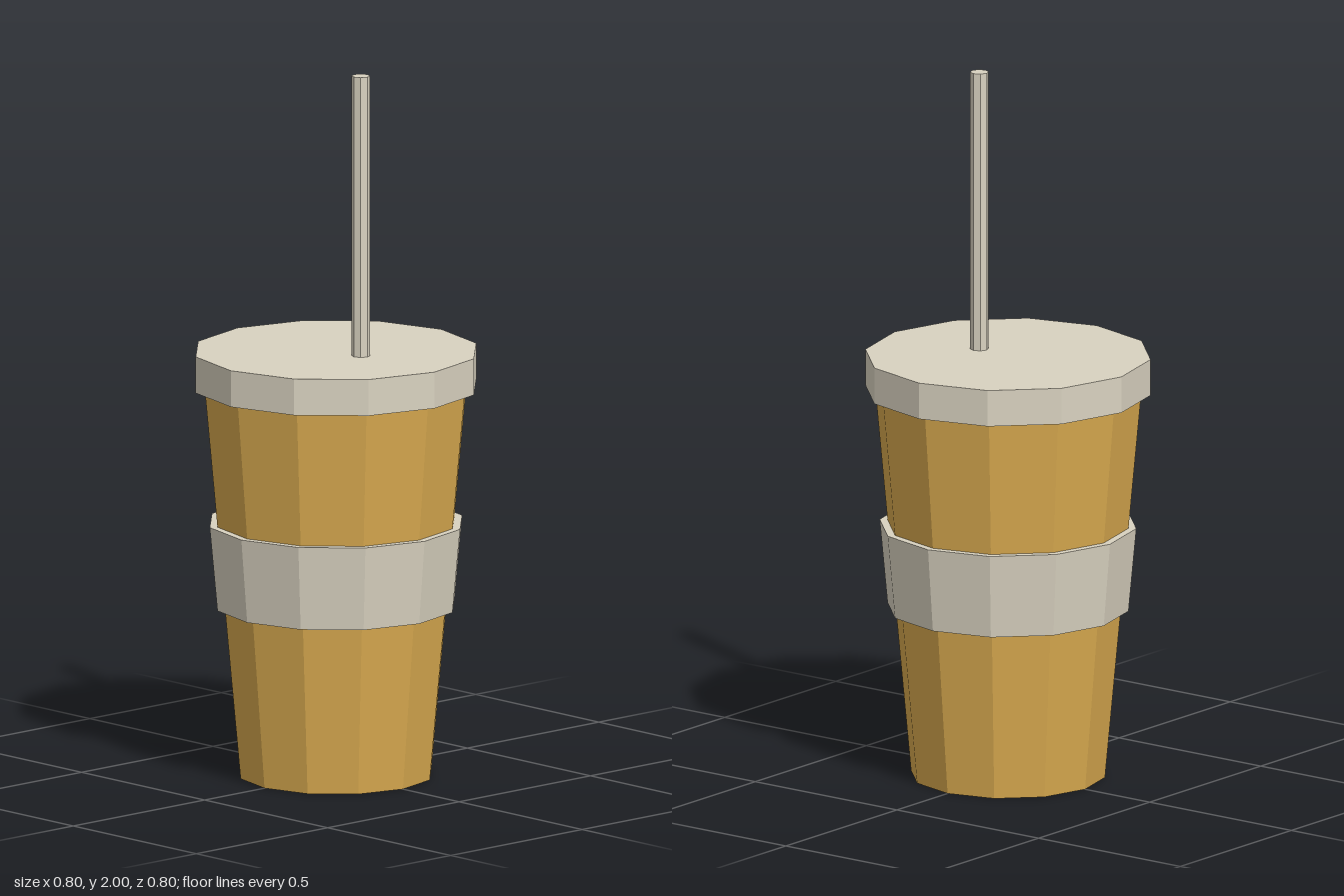
import * as THREE from 'three';

export function createModel() {
  const group = new THREE.Group();
  group.name = 'tumbler';

  const amber = new THREE.MeshStandardMaterial({ color: 0xd9aa4f, flatShading: true });
  amber.name = 'amber';
  const cream = new THREE.MeshStandardMaterial({ color: 0xd9d2c0, flatShading: true });
  cream.name = 'cream';

  // Faceted tapered cylinder between two heights
  const frustum = (name, rBottom, rTop, y0, y1, sides, material, x = 0) => {
    const mesh = new THREE.Mesh(
      new THREE.CylinderGeometry(rTop, rBottom, y1 - y0, sides), material);
    mesh.name = name;
    mesh.position.set(x, (y0 + y1) / 2, 0);
    group.add(mesh);
  };

  frustum('cup', 0.272, 0.375, 0, 1.12, 12, amber);
  frustum('sleeve', 0.338, 0.36, 0.48, 0.718, 12, cream);
  frustum('lid', 0.4, 0.4, 1.102, 1.205, 12, cream);
  frustum('straw', 0.026, 0.026, 1.15, 2, 8, cream, 0.101);

  return group;
}
